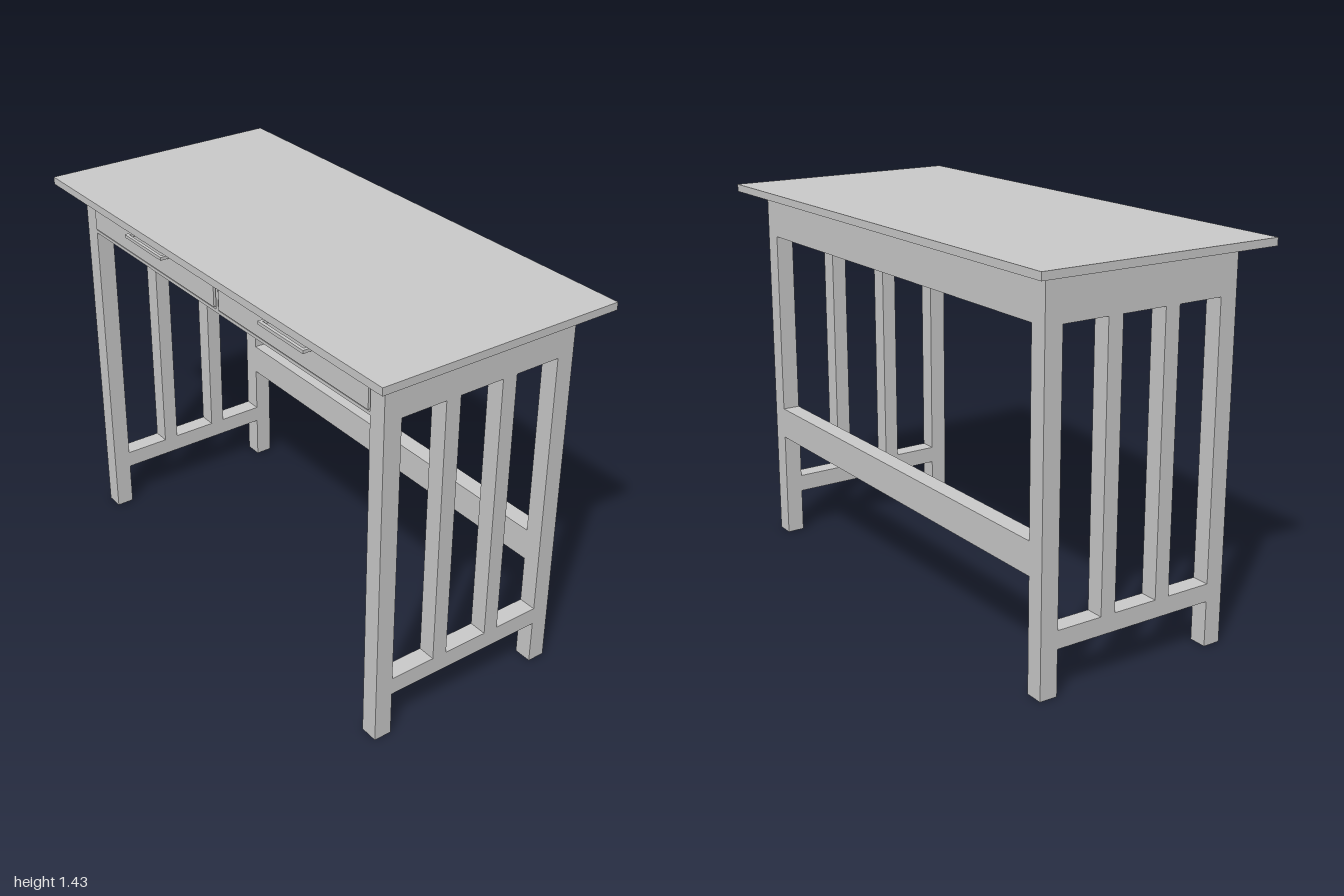
import * as THREE from 'three';

const material = new THREE.MeshStandardMaterial({ color: 0xcccccc, flatShading: true });

// Box given by its min and max corners
function box(parent, name, [x0, y0, z0], [x1, y1, z1]) {
  const mesh = new THREE.Mesh(new THREE.BoxGeometry(x1 - x0, y1 - y0, z1 - z0), material);
  mesh.name = name;
  mesh.position.set((x0 + x1) / 2, (y0 + y1) / 2, (z0 + z1) / 2);
  parent.add(mesh);
  return mesh;
}

const LEG_IN = 0.842, LEG_OUT = 0.91;   // leg extent in x
const DEPTH = 0.387, LEG_Z = 0.32;      // leg extent in z
const APRON = 1.24, UNDER_TOP = 1.405, TOP = 1.433;
const RAIL_LOW = 0.169, RAIL_HIGH = 0.235;

// Slatted side: legs, apron, low rail and two slats cut from one board
function sideGeometry() {
  const shape = new THREE.Shape([
    [-DEPTH, 0], [-LEG_Z, 0], [-LEG_Z, RAIL_LOW], [LEG_Z, RAIL_LOW],
    [LEG_Z, 0], [DEPTH, 0], [DEPTH, UNDER_TOP], [-DEPTH, UNDER_TOP],
  ].map(([z, y]) => new THREE.Vector2(z, y)));
  for (const [a, b] of [[-LEG_Z, -0.144], [-0.086, 0.087], [0.145, LEG_Z]]) {
    shape.holes.push(new THREE.Path([
      [a, RAIL_HIGH], [a, APRON], [b, APRON], [b, RAIL_HIGH],
    ].map(([z, y]) => new THREE.Vector2(z, y))));
  }
  const geometry = new THREE.ExtrudeGeometry(shape, { depth: LEG_OUT - LEG_IN, bevelEnabled: false });
  return geometry.rotateY(-Math.PI / 2);
}

export function createModel() {
  const model = new THREE.Group();
  model.name = 'desk';

  box(model, 'tableTop', [-1, UNDER_TOP, -0.47], [1, TOP, 0.47]);

  // Side frames
  const geometry = sideGeometry();
  for (const [name, x] of [['leftSide', LEG_OUT], ['rightSide', -LEG_IN]]) {
    const side = new THREE.Mesh(geometry, material);
    side.name = name;
    side.position.x = x;
    model.add(side);
  }

  // Drawer case with its front rail and divider, and the back stretcher
  box(model, 'drawerCase', [-LEG_IN, APRON, -DEPTH], [LEG_IN, UNDER_TOP, DEPTH - 0.02]);
  box(model, 'frontRail', [-LEG_IN, APRON, DEPTH - 0.02], [LEG_IN, 1.252, DEPTH]);
  box(model, 'divider', [-0.007, 1.252, DEPTH - 0.02], [0.007, UNDER_TOP, DEPTH]);
  box(model, 'stretcher', [-LEG_IN, 0.415, -DEPTH], [LEG_IN, 0.535, -LEG_Z]);

  // Drawers with bar handles
  for (const [name, s] of [['leftDrawer', 1], ['rightDrawer', -1]]) {
    const drawer = new THREE.Group();
    drawer.name = name;
    drawer.position.x = s * 0.426;
    box(drawer, 'drawerFront', [-0.411, 1.258, DEPTH - 0.02], [0.411, 1.4, 0.391]);
    box(drawer, 'handleBar', [-0.125, 1.333, 0.413], [0.125, 1.345, 0.425]);
    for (const t of [-1, 1]) {
      box(drawer, 'handlePost', [t * 0.119 - 0.006, 1.333, 0.391], [t * 0.119 + 0.006, 1.345, 0.413]);
    }
    model.add(drawer);
  }
  return model;
}
